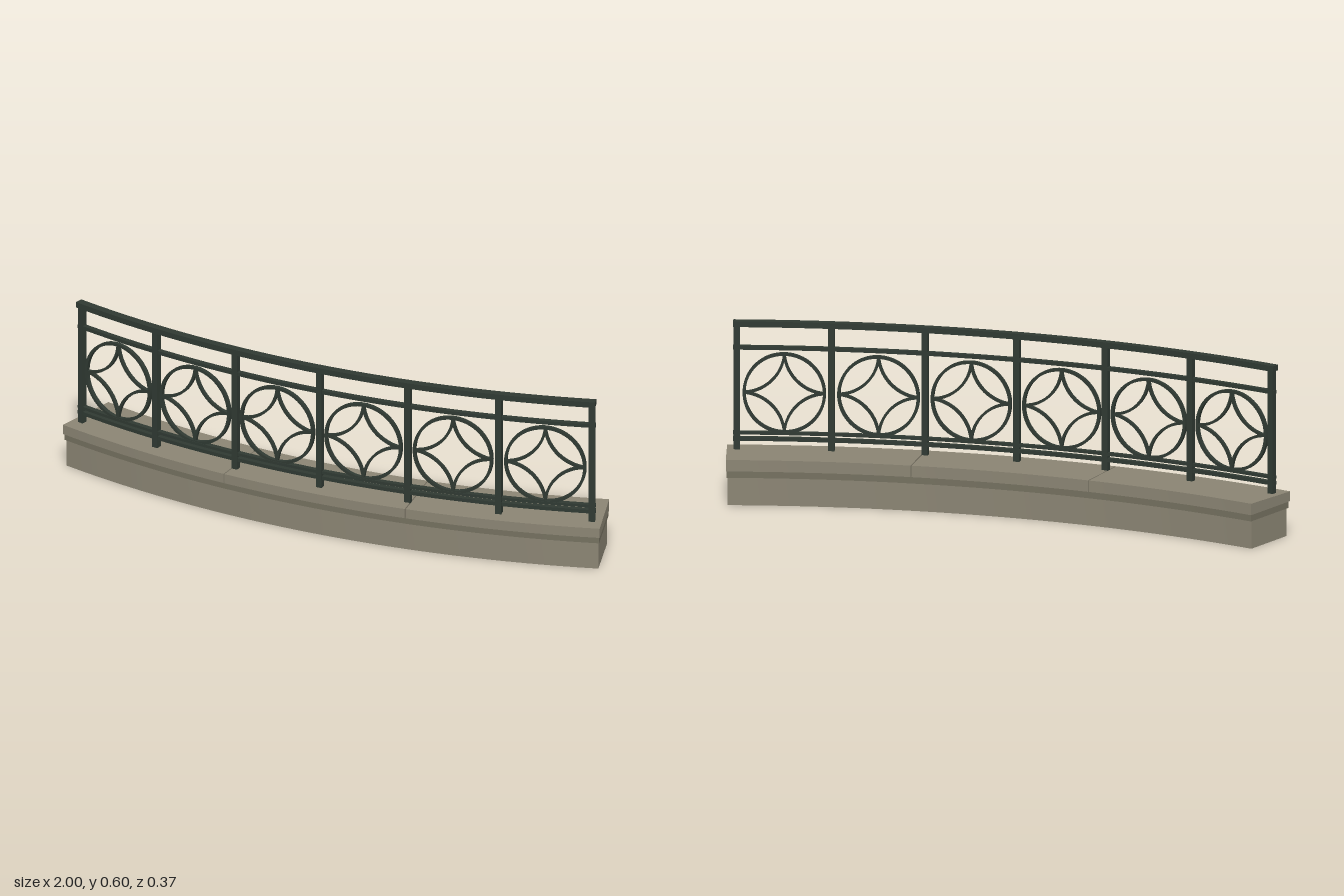
import * as THREE from 'three';
import { toCreasedNormals } from 'three/addons/utils/BufferGeometryUtils.js';

const CENTRE_Z = -3.246;            // centre of the plan curve
const RAIL_R = 3.37;                // radius of the railing line
const BAYS = 6;
const RAIL_END = 0.2857;            // half angle of the railing
const STEP = (2 * RAIL_END) / BAYS;

const stone = new THREE.MeshStandardMaterial({ color: 0x8a8473 });
stone.name = 'stone';
const darkStone = new THREE.MeshStandardMaterial({ color: 0x74705f });
darkStone.name = 'darkStone';
const iron = new THREE.MeshStandardMaterial({ color: 0x2f3932 });
iron.name = 'iron';

function add(parent, name, geometry, material) {
  const mesh = new THREE.Mesh(geometry, material);
  mesh.name = name;
  parent.add(mesh);
  return mesh;
}

// Curved block between two radii, two angles and two heights
function arcBlock(inner, outer, a0, a1, y0, y1, segments) {
  const s = new THREE.Shape();
  const q = Math.PI / 2;
  s.absarc(0, CENTRE_Z, outer, q - a1, q - a0, false);
  s.absarc(0, CENTRE_Z, inner, q - a0, q - a1, true);
  s.closePath();
  const g = new THREE.ExtrudeGeometry(s, { depth: y1 - y0, bevelEnabled: false, curveSegments: segments });
  g.rotateX(q);
  g.translate(0, y1, 0);
  return g;
}

// Place an object on the railing line, facing outward
function placeOnArc(object, angle, y) {
  object.position.set(RAIL_R * Math.sin(angle), y, CENTRE_Z + RAIL_R * Math.cos(angle));
  object.rotation.y = angle;
}

// Flat bar bent along a circular arc in the panel plane
function bentBar(cx, cy, radius, a0, a1, thickness, depth) {
  const s = new THREE.Shape();
  s.absarc(cx, cy, radius + thickness / 2, a0, a1, false);
  s.absarc(cx, cy, radius - thickness / 2, a1, a0, true);
  s.closePath();
  const g = new THREE.ExtrudeGeometry(s, { depth, bevelEnabled: false, curveSegments: 14 });
  g.translate(0, 0, -depth / 2);
  return toCreasedNormals(g, 0.6);
}

export function createModel() {
  const model = new THREE.Group();
  model.name = 'curvedBalustrade';

  // Stone plinth and recessed course
  add(model, 'plinth', toCreasedNormals(arcBlock(3.21, 3.417, -0.294, 0.294, 0, 0.097, 24), 0.5), stone);
  add(model, 'course', toCreasedNormals(arcBlock(3.203, 3.424, -0.295, 0.295, 0.097, 0.12, 24), 0.5), darkStone);

  // Three coping slabs, tops rising slightly to the back
  const slabs = new THREE.Group();
  slabs.name = 'coping';
  model.add(slabs);
  const end = 0.2958, slabStep = (2 * end) / 3, gap = 0.0006;
  for (let i = 0; i < 3; i++) {
    const a0 = -end + i * slabStep + (i > 0 ? gap : 0);
    const a1 = -end + (i + 1) * slabStep - (i < 2 ? gap : 0);
    const g = arcBlock(3.2, 3.43, a0, a1, 0.12, 0.154, 8);
    const p = g.attributes.position;
    for (let k = 0; k < p.count; k++) {
      if (p.getY(k) < 0.14) continue;
      const r = Math.hypot(p.getX(k), p.getZ(k) - CENTRE_Z);
      p.setY(k, 0.154 + 0.006 * (3.43 - r) / 0.23);
    }
    add(slabs, 'copingSlab', toCreasedNormals(g, 0.5), stone);
  }

  const railing = new THREE.Group();
  railing.name = 'railing';
  model.add(railing);

  // Handrail and horizontal rails: name, inner, outer, bottom, top
  const rails = [
    ['handrail', -0.01, 0.0185, 0.582, 0.602],
    ['upperRail', -0.009, 0.009, 0.503, 0.516],
    ['lowerRail', -0.009, 0.009, 0.207, 0.217],
    ['bottomRail', -0.009, 0.009, 0.185, 0.198],
  ];
  for (const [name, inner, outer, y0, y1] of rails) {
    const a = RAIL_END + 0.0037;
    add(railing, name, toCreasedNormals(arcBlock(RAIL_R + inner, RAIL_R + outer, -a, a, y0, y1, 24), 0.5), iron);
  }

  // Posts
  const postGeometry = new THREE.BoxGeometry(0.021, 0.446, 0.021);
  for (let i = 0; i <= BAYS; i++) {
    placeOnArc(add(railing, 'post', postGeometry, iron), -RAIL_END + i * STEP, 0.375);
  }

  // Ring panels: a circle with four inward-curving bars
  const R = 0.136, c = 1.08 * R;
  const hole = new THREE.Path().absarc(0, 0, R - 0.005, 0, Math.PI * 2, true);
  const disc = new THREE.Shape().absarc(0, 0, R + 0.005, 0, Math.PI * 2, false);
  disc.holes.push(hole);
  const ringRaw = new THREE.ExtrudeGeometry(disc, { depth: 0.014, bevelEnabled: false, curveSegments: 40 });
  ringRaw.translate(0, 0, -0.007);
  const ringGeometry = toCreasedNormals(ringRaw, 0.6);
  const start = Math.PI + Math.atan2(c - R, c);
  const sweepEnd = 1.5 * Math.PI - Math.atan2(c - R, c);
  const barGeometry = bentBar(c, c, Math.hypot(c, c - R), start, sweepEnd, 0.009, 0.012);
  for (let i = 0; i < BAYS; i++) {
    const panel = new THREE.Group();
    panel.name = 'ringPanel';
    add(panel, 'ring', ringGeometry, iron);
    for (let k = 0; k < 4; k++) {
      add(panel, 'curvedBar', barGeometry, iron).rotation.z = k * Math.PI / 2;
    }
    placeOnArc(panel, -RAIL_END + (i + 0.5) * STEP, 0.352);
    railing.add(panel);
  }
  return model;
}
